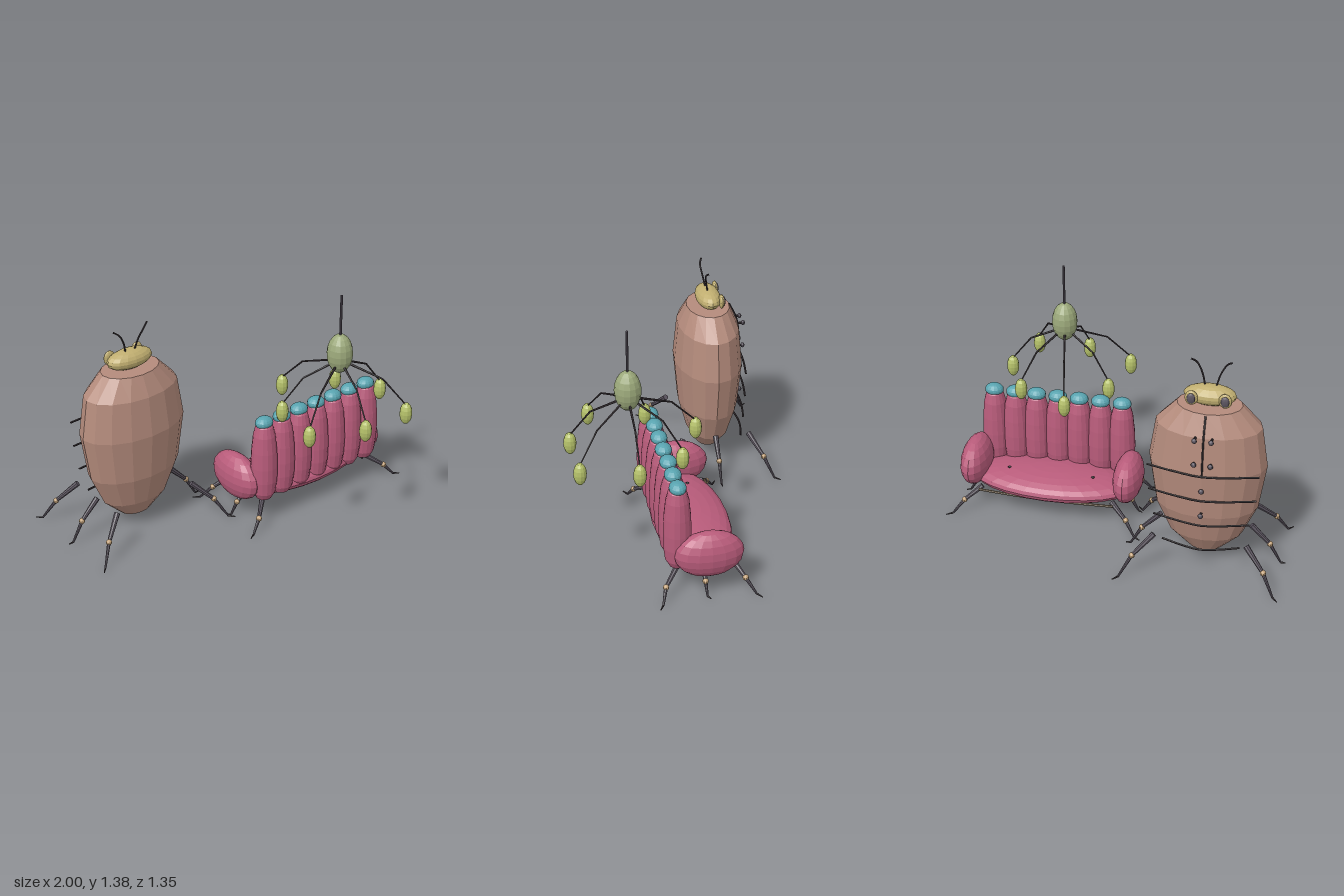
import * as THREE from 'three';

const mat = (name, color) => {
  const m = new THREE.MeshStandardMaterial({ color });
  m.name = name;
  return m;
};
const V = (x, y, z) => new THREE.Vector3(x, y, z);

export function createModel() {
  const shell = mat('brown shell', 0xb48b7c);
  const cushion = mat('rose cushion', 0xb95c7b);
  const teal = mat('teal', 0x58a3af);
  const olive = mat('olive abdomen', 0x9ba87a);
  const lime = mat('lime bulb', 0xb4c069);
  const headMat = mat('mustard head', 0xc0ae70);
  const joint = mat('tan joint', 0xc2a27a);
  const limb = mat('grey limb', 0x5c5560);
  const dark = mat('dark line', 0x3c3438);
  const trim = mat('trim', 0x7d6a50);

  // Faceted normals for the low-poly look
  const facet = (geo) => {
    const g = geo.index ? geo.toNonIndexed() : geo;
    g.computeVertexNormals();
    return g;
  };
  const add = (parent, name, geo, material) => {
    const m = new THREE.Mesh(facet(geo), material);
    m.name = name;
    parent.add(m);
    return m;
  };
  const group = (parent, name) => {
    const g = new THREE.Group();
    g.name = name;
    parent.add(g);
    return g;
  };
  const blob = (parent, name, material, c, rx, ry, rz, ws = 16, hs = 10) => {
    const g = new THREE.SphereGeometry(1, ws, hs).scale(rx, ry, rz).translate(c.x, c.y, c.z);
    return add(parent, name, g, material);
  };
  // Tapered rod from a to b
  const rod = (parent, name, material, a, b, ra, rb = ra, sides = 8) => {
    const d = b.clone().sub(a);
    const g = new THREE.CylinderGeometry(rb, ra, d.length(), sides);
    g.applyQuaternion(new THREE.Quaternion().setFromUnitVectors(V(0, 1, 0), d.normalize()));
    g.translate((a.x + b.x) / 2, (a.y + b.y) / 2, (a.z + b.z) / 2);
    return add(parent, name, g, material);
  };
  const tube = (parent, name, material, pts, r, n = 12) =>
    add(parent, name, new THREE.TubeGeometry(new THREE.CatmullRomCurve3(pts), n, r, 6), material);
  // Insect leg: hip, knee, ankle, toe
  const leg = (parent, name, p, s = 1) => {
    const g = group(parent, name);
    rod(g, 'thigh', limb, p[0], p[1], 0.017 * s, 0.011 * s);
    blob(g, 'knee', joint, p[1], 0.017 * s, 0.017 * s, 0.017 * s, 10, 8);
    rod(g, 'shin', limb, p[1], p[2], 0.011 * s, 0.006 * s);
    rod(g, 'foot', dark, p[2], p[3], 0.006 * s, 0.003 * s, 6);
  };

  const root = new THREE.Group();
  root.name = 'insectFurniture';

  // ---- Beetle cabinet ----
  const cabinet = group(root, 'beetleCabinet');
  cabinet.position.set(-0.543, 0, -0.32);
  const profile = [[0, 0.075], [0.095, 0.075], [0.205, 0.18], [0.286, 0.364], [0.326, 0.636],
    [0.29, 0.87], [0.178, 0.99], [0, 0.99]].map(([r, y]) => new THREE.Vector2(r, y));
  const bodyGeo = new THREE.LatheGeometry(profile, 16);
  const bp = bodyGeo.attributes.position;
  for (let i = 0; i < bp.count; i++) {
    // rounder section at the two narrow ends
    const end = bp.getY(i) < 0.1 || bp.getY(i) > 0.95;
    bp.setZ(i, bp.getZ(i) * (end ? 0.7 : 0.61));
  }
  add(cabinet, 'cabinetBody', bodyGeo, shell);
  blob(cabinet, 'head', headMat, V(0, 1.043, 0), 0.144, 0.056, 0.072);

  for (const s of [-1, 1]) {
    blob(cabinet, 'eyeRim', headMat, V(0.091 * s, 1.047, -0.062), 0.036, 0.043, 0.016, 14, 10);
    blob(cabinet, 'eye', limb, V(0.091 * s, 1.047, -0.072), 0.025, 0.032, 0.013, 12, 8);
    tube(cabinet, 'antenna', dark,
      [V(0.03 * s, 1.09, 0.008), V(0.05 * s, 1.16, 0.022), V(0.082 * s, 1.215, 0.03), V(0.112 * s, 1.238, 0.016)], 0.005);
    for (const k of [-1, 0, 1]) {
      leg(cabinet, 'cabinetLeg', [V(0.255 * s, 0.235, 0.2 * k), V(0.363 * s, 0.124, 0.272 * k),
        V(0.428 * s, 0.008, 0.325 * k), V(0.456 * s, 0.006, 0.356 * k)]);
    }
  }

  // Drawer bars, door seam and knobs on the far side
  [[0.655, 0.305], [0.5, 0.295], [0.34, 0.265], [0.18, 0.215]].forEach(([y, h]) => {
    tube(cabinet, 'drawerBar', dark,
      [V(-h, y + 0.01, -0.165), V(-h / 2, y, -0.19), V(0, y - 0.008, -0.203), V(h / 2, y, -0.19), V(h, y + 0.01, -0.165)], 0.006);
  });
  tube(cabinet, 'doorSeam', dark, [V(0, 0.985, -0.13), V(0, 0.87, -0.179), V(0, 0.65, -0.2)], 0.005);
  for (const [x, y] of [[-0.045, 0.87], [0.045, 0.87], [-0.045, 0.72], [0.045, 0.72], [0, 0.555], [0, 0.395]]) {
    rod(cabinet, 'knobStem', dark, V(x, y, -0.165), V(x, y, -0.205), 0.007);
    blob(cabinet, 'knob', limb, V(x, y, -0.205), 0.015, 0.015, 0.012, 10, 8);
  }

  // ---- Caterpillar sofa ----
  const sofa = group(root, 'caterpillarSofa');
  sofa.position.set(0.42, 0, 0);
  blob(sofa, 'seat', cushion, V(0, 0.165, -0.012), 0.48, 0.08, 0.215, 24, 12);
  tube(sofa, 'seatTrim', trim, [V(-0.4, 0.14, -0.185), V(-0.2, 0.133, -0.188), V(0, 0.13, -0.19),
    V(0.2, 0.133, -0.188), V(0.4, 0.14, -0.185)], 0.007);
  for (const x of [-0.25, 0.25]) blob(sofa, 'seatButton', dark, V(x, 0.232, -0.05), 0.01, 0.006, 0.01, 8, 6);

  const column = [[0, 0.14], [0.045, 0.15], [0.066, 0.19], [0.076, 0.27], [0.078, 0.36], [0.074, 0.46],
    [0.064, 0.56], [0.05, 0.615], [0.03, 0.64], [0, 0.645]].map(([r, y]) => new THREE.Vector2(r, y));
  for (let i = -3; i <= 3; i++) {
    const c = add(sofa, 'backSegment', new THREE.LatheGeometry(column, 16), cushion);
    c.position.set(0.127 * i, 0, 0.14);
    blob(sofa, 'backSegmentCap', teal, V(0.127 * i, 0.636, 0.138), 0.055, 0.037, 0.047, 14, 10);
  }

  for (const s of [-1, 1]) {
    blob(sofa, 'armrest', cushion, V(0.455 * s, 0.248, -0.02), 0.086, 0.138, 0.19);
    for (const k of [-1, 1]) {
      leg(sofa, 'sofaLeg', [V(0.385 * s, 0.15, -0.01 + 0.145 * k), V(0.481 * s, 0.077, 0.003 + 0.218 * k),
        V(0.54 * s, 0.006, -0.008 + 0.255 * k), V(0.576 * s, 0.005, -0.01 + 0.278 * k)]);
    }
    leg(sofa, 'sofaMiddleLeg', [V(0.385 * s, 0.15, 0), V(0.47 * s, 0.077, 0.003),
      V(0.51 * s, 0.006, 0), V(0.535 * s, 0.005, -0.015)]);
  }

  // ---- Spider chandelier ----
  const lamp = group(root, 'spiderChandelier');
  lamp.position.set(0.42, 0, 0.328);
  blob(lamp, 'abdomen', olive, V(0, 1.028, 0), 0.074, 0.117, 0.074, 14, 10);
  rod(lamp, 'hangingRod', limb, V(0, 1.13, 0), V(0, 1.38, 0), 0.007);
  const bulbs = [[-0.09, -0.387], [0.199, -0.255], [0.32, -0.003], [0.24, 0.3], [-0.07, 0.308],
    [-0.353, 0.168], [-0.29, -0.142]];
  for (const [x, z] of bulbs) {
    const elbow = V(x * 0.64, 0.895, z * 0.64);
    rod(lamp, 'upperArm', dark, V(x * 0.1, 0.975, z * 0.1), elbow, 0.007, 0.005, 6);
    rod(lamp, 'lowerArm', dark, elbow, V(x * 0.98, 0.755, z * 0.98), 0.005, 0.004, 6);
    blob(lamp, 'bulb', lime, V(x, 0.697, z), 0.036, 0.066, 0.036, 12, 8);
  }

  return root;
}
